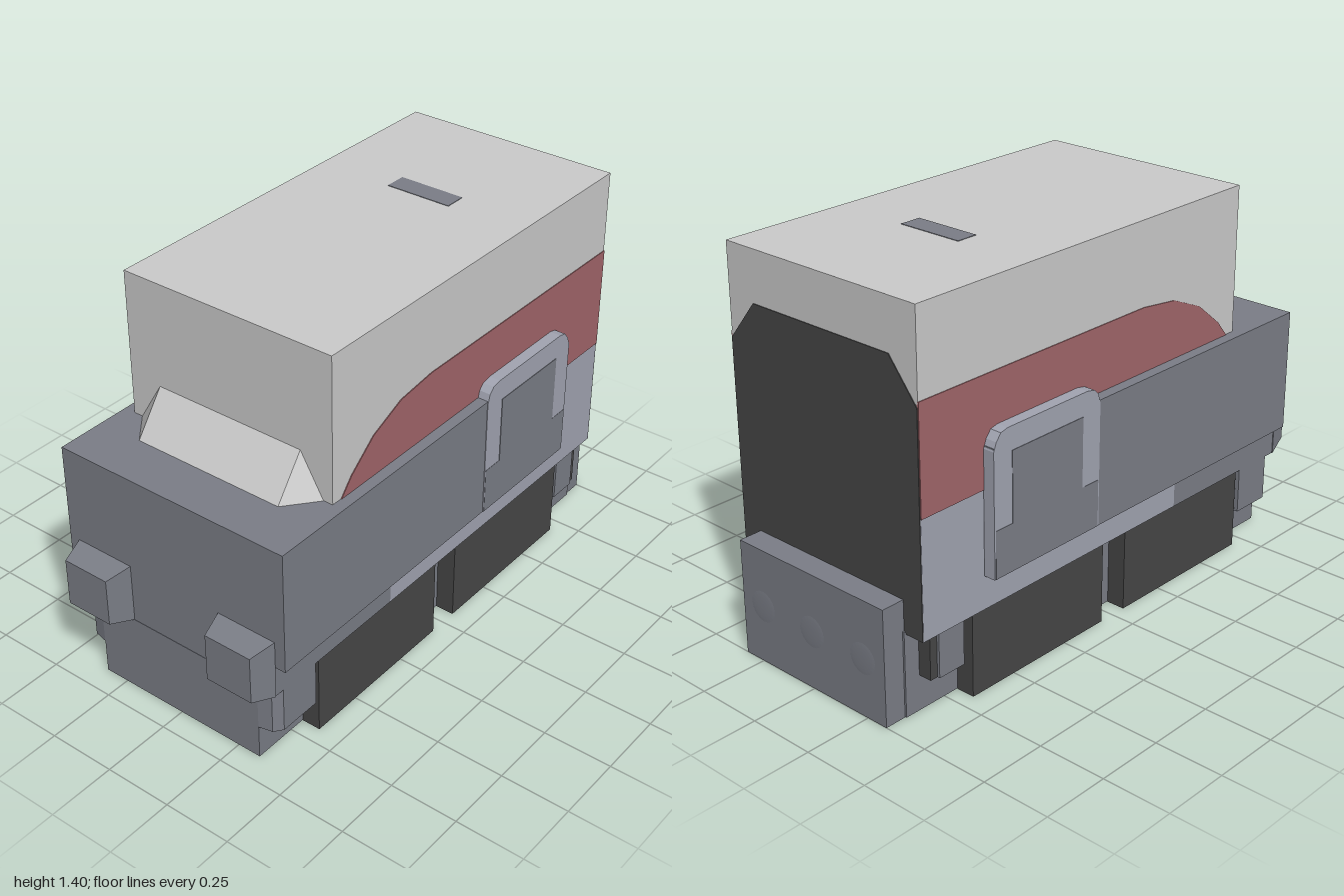
import * as THREE from 'three';

const mat = (color) => new THREE.MeshStandardMaterial({ color, flatShading: true, side: THREE.DoubleSide });

export function createModel() {
  const model = new THREE.Group();
  const pale = mat(0xcccccc), steel = mat(0x7b7e87), lilac = mat(0xa2a5b2);
  const red = mat(0xa2666a), black = mat(0x474747);

  const add = (name, geometry, material) => {
    const mesh = new THREE.Mesh(geometry, material);
    mesh.name = name;
    model.add(mesh);
    return mesh;
  };
  // Box given by its limits on each axis
  const box = (name, material, x0, x1, y0, y1, z0, z1) => {
    const mesh = add(name, new THREE.BoxGeometry(x1 - x0, y1 - y0, z1 - z0), material);
    mesh.position.set((x0 + x1) / 2, (y0 + y1) / 2, (z0 + z1) / 2);
    return mesh;
  };
  const outline = (points) => new THREE.Shape(points.map(([x, y]) => new THREE.Vector2(x, y)));
  // Side plate from a (z, y) outline, spanning x0..x1
  const sidePlate = (name, material, points, x0, x1) => {
    const shape = outline(points.map(([z, y]) => [-z, y]));
    const geometry = new THREE.ExtrudeGeometry(shape, { depth: x1 - x0, bevelEnabled: false });
    geometry.rotateY(Math.PI / 2).translate(x0, 0, 0);
    return add(name, geometry, material);
  };

  // Hull: tall cabin, lower skirt and the wide front body
  box('cabin', pale, -0.415, 0.415, 0.72, 1.4, -0.91, 0.62);
  box('lowerSkirt', lilac, -0.415, 0.415, 0.3, 0.72, -0.91, 0.32);
  box('frontHull', steel, -0.415, 0.415, 0.3, 0.43, 0.32, 0.91);
  box('wideBody', steel, -0.458, 0.458, 0.42, 0.87, -0.64, 0.91);
  box('roofSlot', steel, -0.125, 0.125, 1.39, 1.402, -0.44, -0.36);

  // Dark rear panel with clipped top corners
  const rear = new THREE.ExtrudeGeometry(
    outline([[-0.414, 0.301], [0.414, 0.301], [0.414, 1.08], [0.3, 1.22], [-0.3, 1.22], [-0.414, 1.08]]),
    { depth: 0.01, bevelEnabled: false });
  add('rearPanel', rear, black).position.z = -0.913;

  // Sloped windscreen: a front pane with a triangular cheek on each side
  const screen = new THREE.BufferGeometry();
  screen.setAttribute('position', new THREE.Float32BufferAttribute([
    -0.29, 0.87, 0.73, 0.29, 0.87, 0.73, 0.29, 1.02, 0.62,
    -0.29, 1.02, 0.62, -0.38, 0.87, 0.621, 0.38, 0.87, 0.621], 3));
  screen.setIndex([0, 1, 2, 0, 2, 3, 4, 0, 3, 1, 5, 2]);
  screen.computeVertexNormals();
  add('windscreen', screen, pale);

  // Undercarriage
  box('chassis', steel, -0.34, 0.34, 0.002, 0.31, -0.92, 0.91);
  box('rearBumper', steel, -0.333, 0.333, 0, 0.42, -1, -0.91);
  for (const z of [-0.375, 0.375]) {
    box('trackBlock', black, -0.41, 0.41, 0, 0.3, z - 0.317, z + 0.317);
  }

  // Front valance, plan outline with clipped corners
  const valance = new THREE.ExtrudeGeometry(
    outline([[-0.34, -0.911], [0.34, -0.911], [0.39, -0.9], [0.413, -0.87], [0.413, -0.71],
      [-0.413, -0.71], [-0.413, -0.87], [-0.39, -0.9]]),
    { depth: 0.17, bevelEnabled: false });
  valance.rotateX(-Math.PI / 2);
  add('frontValance', valance, steel).position.y = 0.13;

  // Three shallow round studs on the rear bumper
  for (const x of [-0.235, 0, 0.235]) {
    const stud = add('rearStud', new THREE.SphereGeometry(0.065, 20, 8, 0, Math.PI * 2, 0, Math.PI / 2), steel);
    stud.rotation.x = -Math.PI / 2;
    stud.scale.y = 0.06;
    stud.position.set(x, 0.21, -0.998);
  }

  for (const s of [-1, 1]) {
    // Mirrored box: nearer and farther |x|
    const sideBox = (name, material, a, b, ...rest) =>
      box(name, material, Math.min(s * a, s * b), Math.max(s * a, s * b), ...rest);
    const plate = (name, material, points, a, b) =>
      sidePlate(name, material, points, Math.min(s * a, s * b), Math.max(s * a, s * b));

    // Red side band sweeping down to the front
    plate('sideBand', red, [[-0.91, 0.72], [0.57, 0.72], [0.58, 0.87], [0.53, 0.93],
      [0.42, 1.02], [0.28, 1.08], [0.12, 1.1], [-0.91, 1.1]], 0.41, 0.418);

    // Side hatch with clipped top corners and a dark pane
    plate('sideHatch', lilac, [[-0.64, 0.421], [-0.145, 0.421], [-0.145, 0.86], [-0.155, 0.895],
      [-0.175, 0.915], [-0.21, 0.922], [-0.58, 0.922], [-0.61, 0.915], [-0.63, 0.89], [-0.642, 0.86]],
      0.417, 0.46);
    sideBox('hatchPane', steel, 0.45, 0.462, 0.59, 0.84, -0.56, -0.23);
    sideBox('hatchLower', steel, 0.45, 0.461, 0.421, 0.59, -0.635, -0.15);

    // Rear mudguard with a dark flap
    sideBox('rearMudguard', steel, 0.33, 0.4, 0.13, 0.3, -0.83, -0.72);
    sideBox('mudFlap', black, 0.33, 0.39, 0.13, 0.3, -0.86, -0.83);

    // Front lamp: box tapering forward
    const lamp = new THREE.BoxGeometry(0.23, 0.22, 0.09);
    const p = lamp.attributes.position;
    for (let i = 0; i < p.count; i++) {
      if (p.getZ(i) > 0) p.setXY(i, p.getX(i) * 0.79, p.getY(i) * 0.8 + 0.003);
    }
    lamp.computeVertexNormals();
    add('frontLamp', lamp, steel).position.set(s * 0.303, 0.41, 0.955);
  }
  return model;
}
